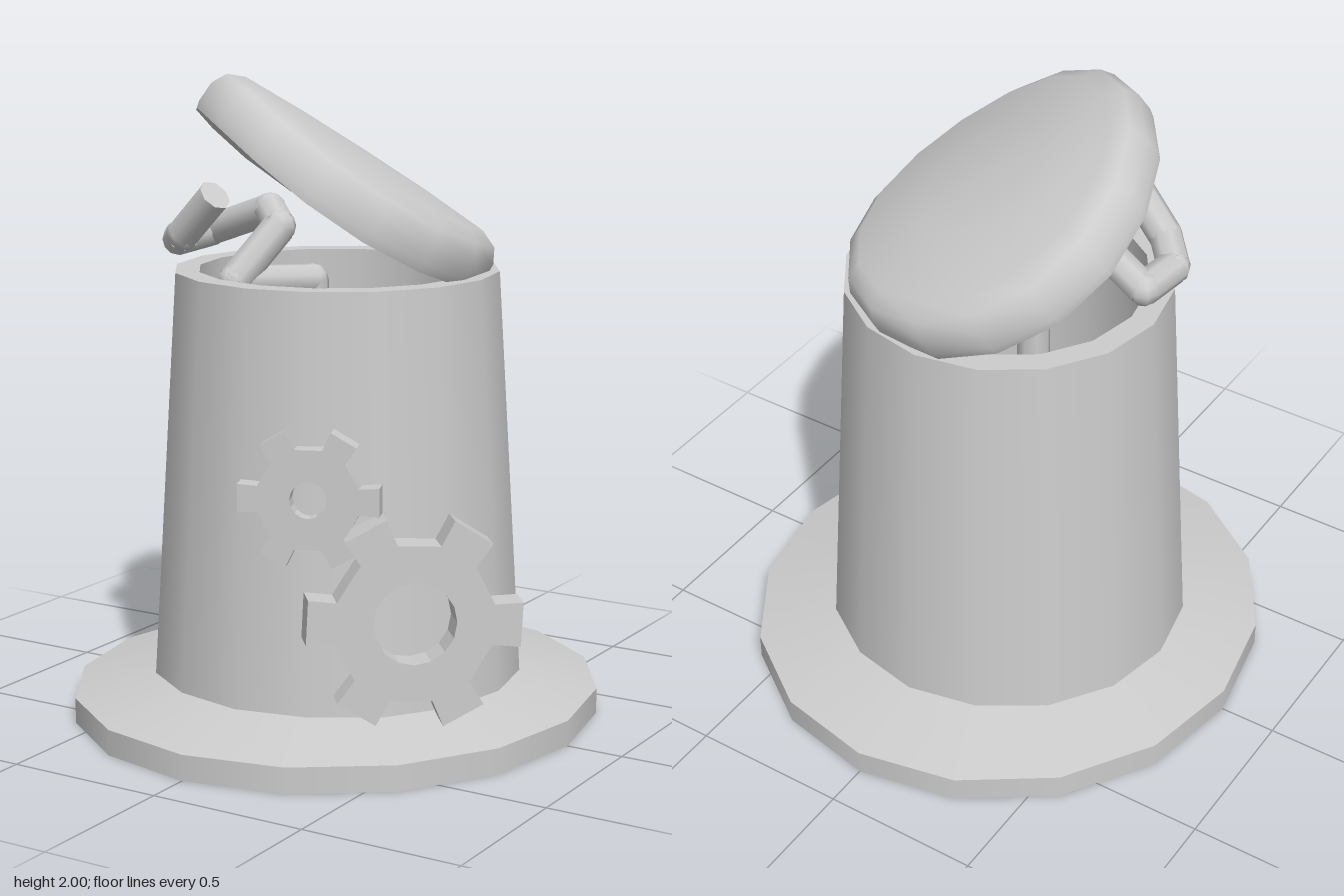
import * as THREE from 'three';
import { mergeVertices } from 'three/addons/utils/BufferGeometryUtils.js';

const grey = new THREE.MeshStandardMaterial({ color: 0xcccccc });
grey.name = 'grey';

const UP = new THREE.Vector3(0, 1, 0);

function part(name, geometry, parent) {
  const mesh = new THREE.Mesh(geometry, grey);
  mesh.name = name;
  parent.add(mesh);
  return mesh;
}

// 16-sided lathe: smooth inside a band, sharp between bands
function lathed(name, bands, parent) {
  const group = new THREE.Group();
  group.name = name;
  bands.forEach((band, i) => {
    const points = band.map(([r, y]) => new THREE.Vector2(r, y));
    part(`${name}Band${i + 1}`, new THREE.LatheGeometry(points, 16), group);
  });
  parent.add(group);
  return group;
}

// Lets a lathed group sag towards both ends of a sideways axis
function sag(group, axis, amount, radius) {
  for (const mesh of group.children) {
    mesh.geometry.deleteAttribute('uv');
    mesh.geometry.deleteAttribute('normal');
    mesh.geometry = mergeVertices(mesh.geometry);
    const pos = mesh.geometry.attributes.position;
    for (let i = 0; i < pos.count; i++) {
      const side = (pos.getX(i) * axis.x + pos.getZ(i) * axis.z) / radius;
      pos.setY(i, pos.getY(i) - amount * side * side);
    }
    mesh.geometry.computeVertexNormals();
  }
}

// Six-toothed wheel facing +z, centred on its own thickness
function gear(name, { outer, root, hole, half, depth, position, turn, spin }, parent) {
  const shape = new THREE.Shape();
  const step = Math.PI / 3;
  for (let i = 0; i < 6; i++) {
    const a = i * step + spin;
    const c = Math.cos(a), s = Math.sin(a);
    const corners = [[root, -half * 0.9], [outer, -half], [outer, half], [root, half * 0.9]];
    corners.forEach(([r, t], k) => {
      const x = r * c - t * s, y = r * s + t * c;
      if (i === 0 && k === 0) shape.moveTo(x, y);
      else shape.lineTo(x, y);
    });
    const m = a + step / 2;
    shape.lineTo(root * Math.cos(m), root * Math.sin(m));
  }
  shape.closePath();
  const bore = new THREE.Path();
  bore.absarc(0, 0, hole, 0, Math.PI * 2, true);
  shape.holes.push(bore);
  const geometry = new THREE.ExtrudeGeometry(shape, { depth, bevelEnabled: false, curveSegments: 8 });
  geometry.translate(0, 0, -depth / 2);
  const mesh = part(name, geometry, parent);
  mesh.position.set(...position);
  mesh.rotation.y = turn;
}

// Straight pipes joined by round elbows
function pipeArm(name, path, radius, parent) {
  const group = new THREE.Group();
  group.name = name;
  const points = path.map((p) => new THREE.Vector3(...p));
  for (let i = 0; i < points.length - 1; i++) {
    const dir = points[i + 1].clone().sub(points[i]);
    const pipe = part('pipe', new THREE.CylinderGeometry(radius, radius, dir.length(), 8), group);
    pipe.position.copy(points[i]).addScaledVector(dir, 0.5);
    pipe.quaternion.setFromUnitVectors(UP, dir.normalize());
    if (i > 0) part('elbow', new THREE.SphereGeometry(radius, 8, 6), group).position.copy(points[i]);
  }
  parent.add(group);
}

export function createModel() {
  const model = new THREE.Group();
  model.name = 'mechanicalHat';

  // Wide oval brim with an open underside
  lathed('brim', [
    [[0.61, 0], [0.86, 0]],
    [[0.86, 0], [0.86, 0.08]],
    [[0.86, 0.08], [0.585, 0.14]],
  ], model).scale.x = 0.953;

  // Tapered crown: outer wall, rim, deep well, hollow underside and lower lip
  lathed('crown', [
    [[0.583, 0.13], [0.505, 1.4]],
    [[0.505, 1.4], [0.43, 1.4]],
    [[0.43, 1.4], [0.48, 0.6]],
    [[0.48, 0.6], [0, 0.6]],
    [[0, 0.55], [0.535, 0.55]],
    [[0.535, 0.55], [0.575, 0]],
    [[0.575, 0], [0.62, 0]],
  ], model);

  // Rounded lid, slightly arched and tipped open towards the front left
  const lid = lathed('lid', [
    [[0, 0], [0.17, 0], [0.34, 0], [0.515, 0]],
    [[0.515, 0], [0.522, 0.03], [0.52, 0.09], [0.495, 0.135], [0.44, 0.158], [0.22, 0.166], [0, 0.168]],
  ], model);
  const tilt = new THREE.Vector3(0.41, 0.84, -0.36).normalize();
  sag(lid, new THREE.Vector3().crossVectors(UP, tilt).normalize(), 0.07, 0.52);
  lid.position.set(-0.012, 1.617, -0.018);
  lid.quaternion.setFromUnitVectors(UP, tilt);

  // Bent arm reaching out of the well
  pipeArm('bentArm', [
    [-0.07, 0.6, 0.03], [-0.07, 1.36, 0.03], [-0.18, 1.38, 0.3], [-0.1, 1.54, 0.17],
    [-0.18, 1.58, 0.1], [-0.45, 1.49, 0.03], [-0.46, 1.48, 0.19], [-0.38, 1.51, 0.28],
    [-0.24, 1.64, 0.31],
  ], 0.052, model);

  // Two meshing gears on the crown
  gear('smallGear', {
    outer: 0.21, root: 0.15, hole: 0.055, half: 0.043, depth: 0.06,
    position: [0.22, 0.8, 0.51], turn: 0.39, spin: 0,
  }, model);
  gear('largeGear', {
    outer: 0.32, root: 0.235, hole: 0.125, half: 0.068, depth: 0.095,
    position: [0.485, 0.437, 0.365], turn: 0.7, spin: -0.05,
  }, model);

  return model;
}
